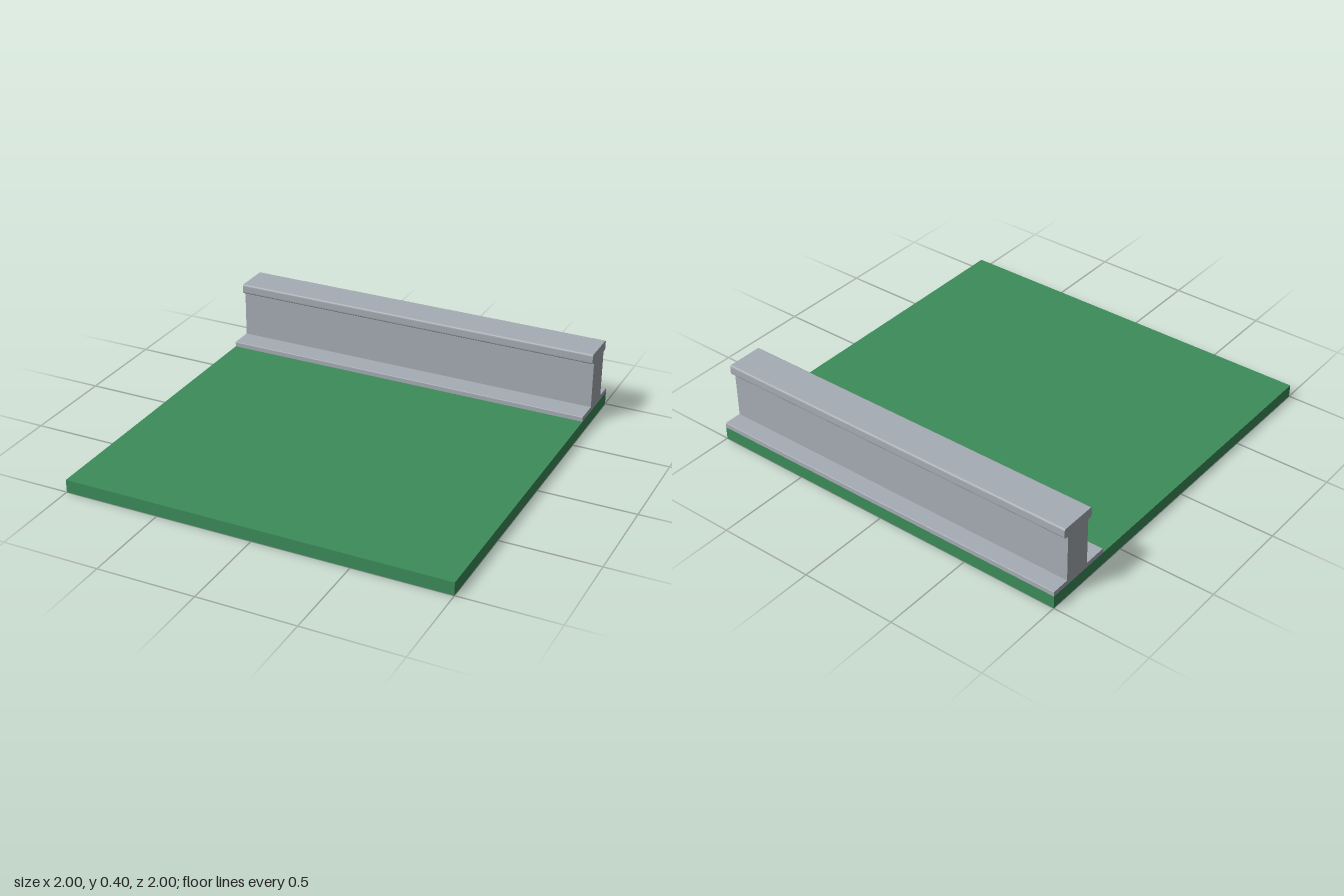
import * as THREE from 'three';

const LENGTH = 2;

// Extrudes a (z, y) outline along the full x length.
function extrudeAlongX(shape) {
  const geometry = new THREE.ExtrudeGeometry(shape, { depth: LENGTH, bevelEnabled: false, curveSegments: 5 });
  geometry.rotateY(-Math.PI / 2);
  geometry.translate(LENGTH / 2, 0, 0);
  return geometry;
}

// Rectangle outline with one radius for the top corners and one for the bottom.
function roundedOutline(z0, z1, y0, y1, top, bottom) {
  const s = new THREE.Shape();
  s.moveTo(z0 + bottom, y0);
  s.lineTo(z1 - bottom, y0);
  if (bottom) s.quadraticCurveTo(z1, y0, z1, y0 + bottom);
  s.lineTo(z1, y1 - top);
  if (top) s.quadraticCurveTo(z1, y1, z1 - top, y1);
  s.lineTo(z0 + top, y1);
  if (top) s.quadraticCurveTo(z0, y1, z0, y1 - top);
  s.lineTo(z0, y0 + bottom);
  if (bottom) s.quadraticCurveTo(z0, y0, z0 + bottom, y0);
  return s;
}

export function createModel() {
  const model = new THREE.Group();
  model.name = 'wallOnLawn';

  const grass = new THREE.MeshStandardMaterial({ color: 0x3c8c5a });
  grass.name = 'grass green';
  const stone = new THREE.MeshStandardMaterial({ color: 0xa6adb4 });
  stone.name = 'stone grey';

  const add = (name, geometry, material) => {
    const mesh = new THREE.Mesh(geometry, material);
    mesh.name = name;
    model.add(mesh);
  };

  // Ground slab
  const slab = new THREE.BoxGeometry(LENGTH, 0.067, 2);
  slab.translate(0, 0.0335, 0);
  add('lawn', slab, grass);

  // Wall along the back edge: footing, upright and rounded coping
  add('footing', extrudeAlongX(roundedOutline(-1, -0.635, 0.067, 0.093, 0.004, 0)), stone);
  add('wall', extrudeAlongX(roundedOutline(-0.905, -0.758, 0.09, 0.35, 0, 0)), stone);
  add('coping', extrudeAlongX(roundedOutline(-0.931, -0.733, 0.343, 0.396, 0.01, 0.013)), stone);

  return model;
}
